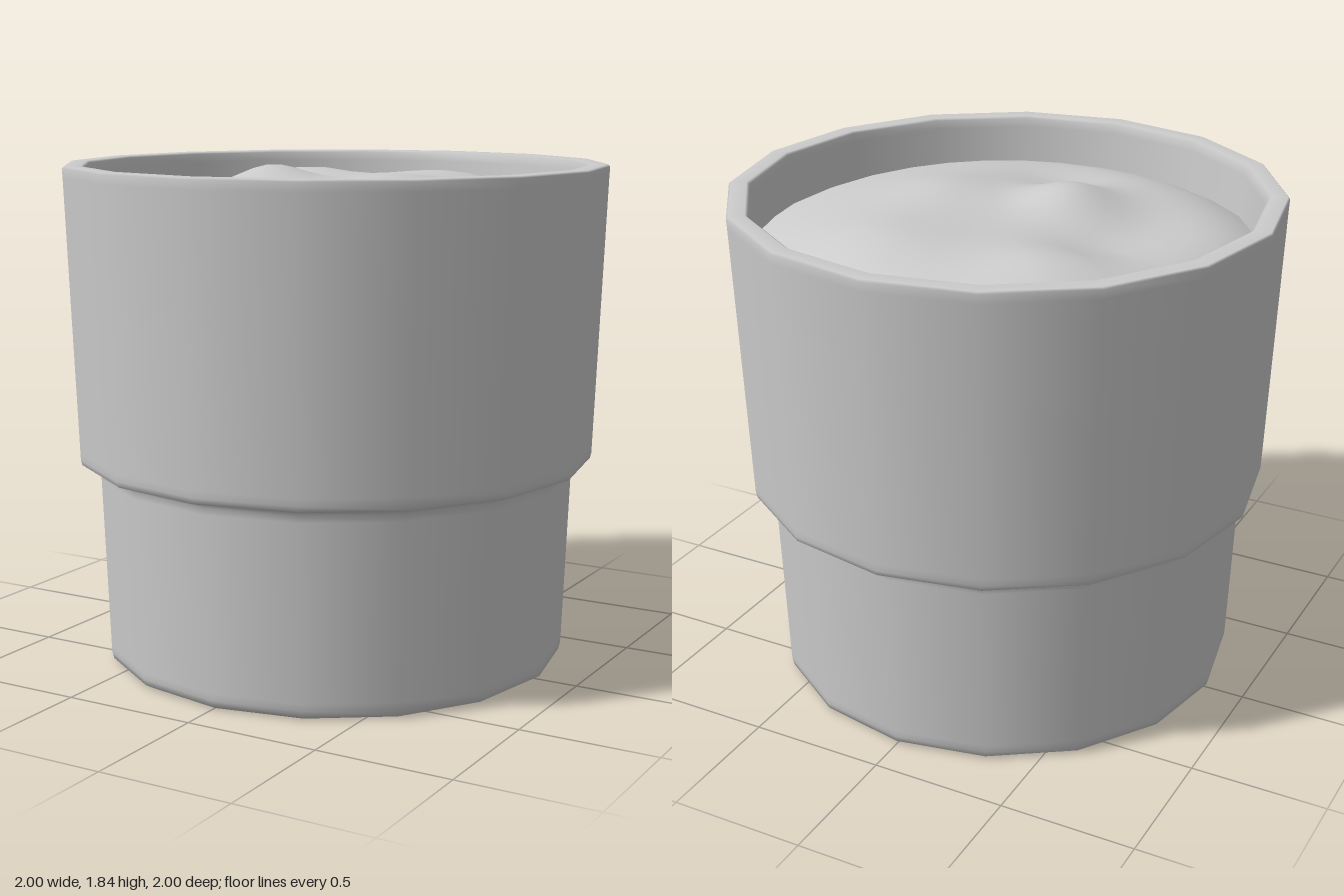
import * as THREE from 'three';
import { mergeVertices } from 'three/addons/utils/BufferGeometryUtils.js';

const SIDES = 16;
const grey = () => new THREE.MeshStandardMaterial({ color: 0xcccccc });
const profile = (pts) => pts.map(([r, y]) => new THREE.Vector2(r, y));

// Lumps and hollows in the soil: x, z, height, width
const LUMPS = [
  [-0.17, 0.17, 0.07, 0.17],
  [-0.40, -0.45, 0.05, 0.20],
  [0.25, -0.50, 0.04, 0.28],
  [0.28, 0.05, 0.04, 0.22],
  [0.00, 0.48, -0.04, 0.18],
  [-0.52, 0.15, -0.03, 0.20],
  [-0.45, -0.12, -0.04, 0.18],
];

function soilHeight(x, z) {
  const r = Math.hypot(x, z) / 0.9;
  let y = 1.65 + 0.12 * (1 - r ** 4);
  const fade = Math.max(0, 1 - r ** 6);
  for (const [cx, cz, h, w] of LUMPS) {
    y += fade * h * Math.exp(-((x - cx) ** 2 + (z - cz) ** 2) / (w * w));
  }
  return y;
}

function makePot() {
  // From the base centre, up the outside, over the rim and down the inside
  const geometry = new THREE.LatheGeometry(profile([
    [0, 0], [0.82, 0], [0.835, 0], [0.855, 0.012], [0.861, 0.035], [0.863, 0.06],
    [0.886, 0.70], [0.888, 0.725], [0.90, 0.745], [0.945, 0.75], [0.955, 0.757], [0.96, 0.775], [0.961, 0.80],
    [0.998, 1.80], [1.0, 1.833], [0.993, 1.84], [0.935, 1.84], [0.925, 1.833],
    [0.923, 1.80], [0.895, 1.45],
  ]), SIDES);
  const pot = new THREE.Mesh(geometry, grey());
  pot.name = 'pot';
  return pot;
}

function makeSoil() {
  // A flat disc of rings, raised by the height rule
  const rings = 18;
  const pts = Array.from({ length: rings + 1 }, (_, i) => [0.915 * (1 - i / rings), 0]);
  let geometry = new THREE.LatheGeometry(profile(pts), SIDES * 2);
  const p = geometry.attributes.position;
  for (let i = 0; i < p.count; i++) p.setY(i, soilHeight(p.getX(i), p.getZ(i)));
  geometry.deleteAttribute('uv');
  geometry.deleteAttribute('normal');
  geometry = mergeVertices(geometry, 1e-4);
  geometry.computeVertexNormals();
  const soil = new THREE.Mesh(geometry, grey());
  soil.name = 'soil';
  return soil;
}

export function createModel() {
  const model = new THREE.Group();
  model.name = 'flowerPot';
  model.add(makePot(), makeSoil());
  return model;
}
